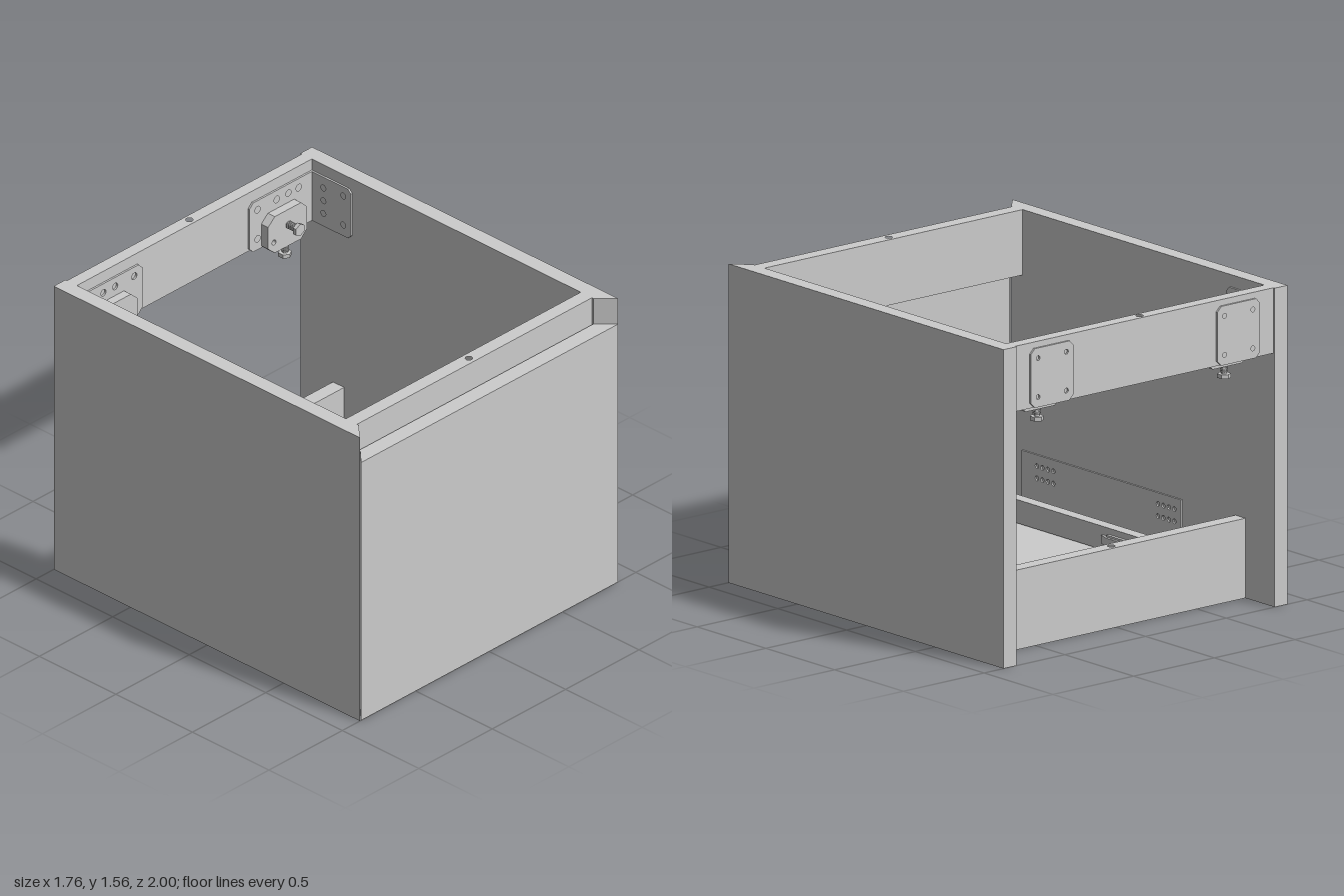
import * as THREE from 'three';

const grey = new THREE.MeshStandardMaterial({ color: 0xcccccc, flatShading: true });

function add(parent, name, geo, x = 0, y = 0, z = 0) {
  const m = new THREE.Mesh(geo, grey);
  m.name = name;
  m.position.set(x, y, z);
  parent.add(m);
  return m;
}

// Box given by its limits on each axis
function box(parent, name, [x0, x1], [y0, y1], [z0, z1]) {
  return add(parent, name, new THREE.BoxGeometry(Math.abs(x1 - x0), y1 - y0, z1 - z0),
    (x0 + x1) / 2, (y0 + y1) / 2, (z0 + z1) / 2);
}

const toShape = pts => new THREE.Shape(pts.map(p => new THREE.Vector2(...p)));
const rect = (x0, x1, y0, y1) => [[x0, y0], [x1, y0], [x1, y1], [x0, y1]];

function roundHole(shape, x, y, r) {
  const path = new THREE.Path();
  path.absarc(x, y, r, 0, Math.PI * 2, true);
  shape.holes.push(path);
}

function extrude(shape, depth) {
  return new THREE.ExtrudeGeometry(shape, { depth, bevelEnabled: false, curveSegments: 8 });
}

// Plan outline of [x, z] points raised from y0 to y1
function plan(parent, name, pts, y0, y1, cut) {
  const shape = toShape(pts.map(([x, z]) => [x, -z]));
  if (cut) cut(shape);
  return add(parent, name, extrude(shape, y1 - y0).rotateX(-Math.PI / 2), 0, y0, 0);
}

// Cross panel with a blind dowel hole in its top edge
function crossPanel(parent, name, y0, y1, z0, z1) {
  const g = new THREE.Group();
  g.name = name;
  box(g, 'panelBody', [-0.8, 0.8], [y0, y1 - 0.05], [z0, z1]);
  plan(g, 'drilledEdge', rect(-0.8, 0.8, z0, z1), y1 - 0.05, y1,
    s => roundHole(s, 0, -(z0 + z1) / 2, 0.018));
  parent.add(g);
}

// Drawer slide on one side (s = 1 or -1)
function slide(s) {
  const g = new THREE.Group();
  g.name = s > 0 ? 'leftSlide' : 'rightSlide';
  // wall flange with two clusters of screw holes
  const flange = toShape(rect(-0.83, 0.33, 0.085, 0.385));
  for (const u of [-0.72, 0.16])
    for (let i = 0; i < 4; i++)
      for (const y of [0.27, 0.33]) roundHole(flange, u + i * 0.04, y, 0.012);
  add(g, 'wallFlange', extrude(flange, 0.008).rotateY(Math.PI / 2), s > 0 ? 0.792 : -0.8);
  // flat flange with slots
  plan(g, 'floorFlange', rect(s * 0.7, s * 0.795, -0.33, 0.83), 0.088, 0.098, sh => {
    for (const z of [-0.17, 0.15]) {
      const d = z < 0 ? 1 : -1;
      sh.holes.push(new THREE.Path([[0.735, -0.045], [0.755, -0.045], [0.755, -0.015], [0.775, -0.015],
        [0.775, 0.015], [0.755, 0.015], [0.755, 0.045], [0.735, 0.045]]
        .map(([x, v]) => new THREE.Vector2(s * x, -z + v * d))));
    }
    for (const z of [-0.065, 0.037])
      sh.holes.push(new THREE.Path(rect(s * 0.735, s * 0.765, -z - 0.026, -z + 0.026)
        .map(p => new THREE.Vector2(...p))));
    roundHole(sh, s * 0.765, 0.013, 0.009);
  });
  box(g, 'flangeLip', [s * 0.718, s * 0.726], [0.09, 0.15], [-0.33, 0.83]);
  // runner: inverted channel with a slot at the back
  plan(g, 'runnerTop', rect(s * 0.642, s * 0.704, -0.7, 0.83), 0.192, 0.2, sh =>
    sh.holes.push(new THREE.Path(rect(s * 0.66, s * 0.686, 0.615, 0.66)
      .map(p => new THREE.Vector2(...p)))));
  for (const x of [0.642, 0.696])
    box(g, 'runnerWall', [s * x, s * (x + 0.008)], [0.085, 0.192], [-0.7, 0.83]);
  // inner rail and catch
  box(g, 'innerRail', [s * 0.625, s * 0.642], [0.11, 0.17], [-0.65, 0.02]);
  box(g, 'railClip', [s * 0.615, s * 0.64], [0.1, 0.185], [-0.255, -0.18]);
  plan(g, 'catch', [[s * 0.612, -0.34], [s * 0.628, -0.34], [s * 0.64, 0.06],
    [s * 0.628, 0.06], [s * 0.612, 0]], 0.12, 0.16);
  box(g, 'frontStop', [s * 0.63, s * 0.642], [0.12, 0.19], [0.78, 0.83]);
  return g;
}

// Screw with a hex head, running along +y from the origin
function screw(name, length) {
  const g = new THREE.Group();
  g.name = name;
  add(g, 'shank', new THREE.CylinderGeometry(0.014, 0.014, length, 12), 0, length / 2);
  for (let i = 0; i < 4; i++)
    add(g, 'thread', new THREE.CylinderGeometry(0.02, 0.02, length * 0.1, 12), 0, length * (0.15 + i * 0.2));
  add(g, 'head', new THREE.CylinderGeometry(0.033, 0.033, 0.02, 6), 0, length + 0.01);
  return g;
}

// Wall hanger in one upper back corner
function hanger(s) {
  const g = new THREE.Group();
  g.name = s > 0 ? 'leftHanger' : 'rightHanger';
  // rounded plate on the rear face
  const [a, b, c, d, r] = [0.445, 0.71, 1.24, 1.53, 0.025];
  const back = toShape([[a + r, c], [b - r, c], [b, c + r], [b, d - r], [b - r, d], [a + r, d], [a, d - r], [a, c + r]]
    .map(([x, y]) => [s * x, y]));
  for (const x of [0.49, 0.665]) for (const y of [1.29, 1.48]) roundHole(back, s * x, y, 0.012);
  add(g, 'rearPlate', extrude(back, 0.01), 0, 0, -1);
  // angle plate on the rail and the side panel
  const rail = toShape([[0.8, 1.23], [0.39, 1.23], [0.365, 1.255], [0.365, 1.475], [0.39, 1.5], [0.8, 1.5]]
    .map(([x, y]) => [s * x, y]));
  for (const [x, y] of [[0.42, 1.29], [0.42, 1.45], [0.55, 1.45], [0.63, 1.45], [0.7, 1.45]])
    roundHole(rail, s * x, y, 0.018);
  add(g, 'railPlate', extrude(rail, 0.01), 0, 0, -0.925);
  const side = toShape([[0.915, 1.23], [0.68, 1.23], [0.66, 1.25], [0.66, 1.48], [0.68, 1.5], [0.915, 1.5]]);
  for (const [u, y] of [[0.71, 1.29], [0.71, 1.45], [0.84, 1.3], [0.84, 1.37], [0.84, 1.44]])
    roundHole(side, u, y, 0.016);
  add(g, 'sidePlate', extrude(side, 0.01).rotateY(Math.PI / 2), s > 0 ? 0.79 : -0.8);
  // mechanism housing with its two adjusting screws
  const house = toShape([[0.445, 1.24], [0.49, 1.2], [0.67, 1.2], [0.71, 1.24], [0.71, 1.36], [0.67, 1.4],
    [0.49, 1.4], [0.445, 1.36]].map(([x, y]) => [s * x, y]));
  for (const x of [0.485, 0.67]) roundHole(house, s * x, 1.26, 0.014);
  add(g, 'housing', extrude(house, 0.045), 0, 0, -0.915);
  const depth = screw('depthScrew', 0.06);
  depth.rotation.x = Math.PI / 2;
  depth.position.set(s * 0.58, 1.32, -0.87);
  const height = screw('heightScrew', 0.04);
  height.rotation.x = Math.PI;
  height.position.set(s * 0.58, 1.2, -0.89);
  g.add(depth, height);
  return g;
}

export function createModel() {
  const model = new THREE.Group();
  model.name = 'drawerCabinet';
  for (const s of [1, -1]) {
    // side panel with mitred front edge
    plan(model, s > 0 ? 'leftPanel' : 'rightPanel',
      [[s * 0.8, -1], [s * 0.88, -1], [s * 0.88, 1], [s * 0.8, 0.915]], 0, 1.56);
    model.add(slide(s), hanger(s));
  }
  plan(model, 'drawerFront', [[-0.872, 1], [0.88, 1], [0.798, 0.915], [-0.79, 0.915]], 0, 1.42);
  box(model, 'floor', [-0.8, 0.8], [0, 0.08], [-0.714, 0.905]);
  crossPanel(model, 'lowerBackPanel', 0, 0.39, -0.787, -0.714);
  crossPanel(model, 'backRail', 1.24, 1.56, -0.99, -0.925);
  crossPanel(model, 'frontRail', 1.24, 1.56, 0.832, 0.905);
  return model;
}
